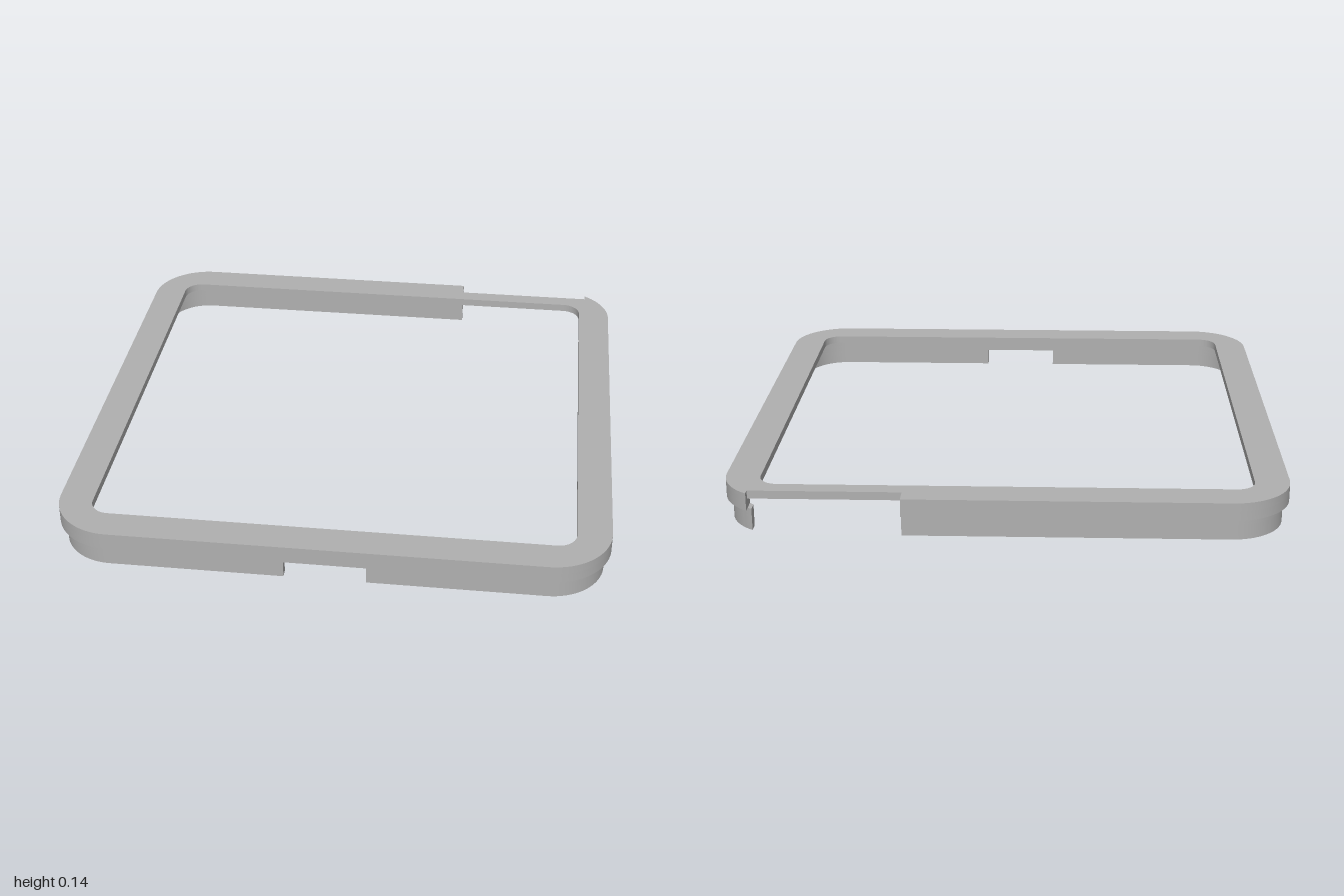
import * as THREE from 'three';
import { toCreasedNormals } from 'three/addons/utils/BufferGeometryUtils.js';

const C = 0.78;      // centre of the corner arcs
const OUTER = 1.0;   // half width of the upper rim
const SKIRT = 0.978; // half width of the lower skirt
const INNER = 0.945; // half width of the wall's inside
const HOLE = 0.875;  // half width of the opening
const STEPS = 18;

// Corner arc, counter-clockwise; 0 back left, 1 front left, 2 front right, 3 back right.
// cutX stops the back-right arc where it reaches that x.
function corner(i, h, c = C, cutX = null) {
  const sx = i === 0 || i === 1 ? -1 : 1;
  const sy = i === 0 || i === 3 ? 1 : -1;
  const a0 = ((i + 1) % 4) * Math.PI / 2;
  const r = h - c;
  const sweep = i === 3 && cutX !== null ? Math.acos((cutX - c) / r) : Math.PI / 2;
  const pts = [];
  for (let k = 0; k <= STEPS; k++) {
    const a = a0 + sweep * k / STEPS;
    pts.push(new THREE.Vector2(sx * c + r * Math.cos(a), sy * c + r * Math.sin(a)));
  }
  return pts;
}

// Open run along the outline: optional start, corners, optional end
function run(h, { start, corners, end, cutX }) {
  const pts = corners.flatMap((i) => corner(i, h, C, cutX));
  if (start) pts.unshift(new THREE.Vector2(...start(h)));
  if (end) pts.push(new THREE.Vector2(...end(h)));
  return pts;
}

export function createModel() {
  const group = new THREE.Group();
  const grey = new THREE.MeshStandardMaterial({ color: 0xb0b0b0 });
  grey.name = 'grey';

  // Extrude a plan shape (x, -z) upward from y0 to y1
  function slab(name, shape, y0, y1) {
    const g = new THREE.ExtrudeGeometry(shape, { depth: y1 - y0, bevelEnabled: false });
    g.rotateX(-Math.PI / 2);
    g.translate(0, y0, 0);
    const mesh = new THREE.Mesh(toCreasedNormals(g, 0.5), grey);
    mesh.name = name;
    group.add(mesh);
  }
  const wall = (name, h, path, y0, y1) =>
    slab(name, new THREE.Shape([...run(h, path), ...run(INNER, path).reverse()]), y0, y1);

  // Points where the walls are interrupted
  const backCut = (h) => [0.36, h];
  const frontA = (h) => [-0.15, -h];
  const frontB = (h) => [0.145, -h];
  const around = { start: backCut, corners: [0, 1, 2, 3] };

  // Top plate with the opening and the shallow back notch
  const plate = new THREE.Shape([
    ...run(OUTER, { ...around, cutX: 0.9 }),
    new THREE.Vector2(0.9, 0.938),
    new THREE.Vector2(0.36, 0.938),
  ]);
  plate.holes.push(new THREE.Path([0, 1, 2, 3].flatMap((i) => corner(i, HOLE, 0.805)).reverse()));
  slab('topPlate', plate, 0.115, 0.145);

  // Overhanging rim below the plate
  wall('rim', OUTER, { ...around, cutX: 0.9 }, 0.08, 0.115);

  // Skirt: continuous at the top, then split by the front and side cutouts
  const cutX = 0.885;
  wall('skirtTop', SKIRT, { ...around, cutX }, 0.065, 0.08);
  wall('skirtMiddleLeft', SKIRT, { start: backCut, corners: [0, 1], end: frontA }, 0.055, 0.065);
  wall('skirtMiddleRight', SKIRT, { start: frontB, corners: [2, 3], cutX }, 0.055, 0.065);
  const lower = [
    { start: backCut, corners: [0], end: (h) => [-h, 0.775] },
    { start: (h) => [-h, -0.295], corners: [1], end: frontA },
    { start: frontB, corners: [2], end: (h) => [h, -0.295] },
    { start: (h) => [h, 0.775], corners: [3], cutX },
  ];
  lower.forEach((path, i) => wall('skirtCorner' + (i + 1), SKIRT, path, 0, 0.055));

  return group;
}
